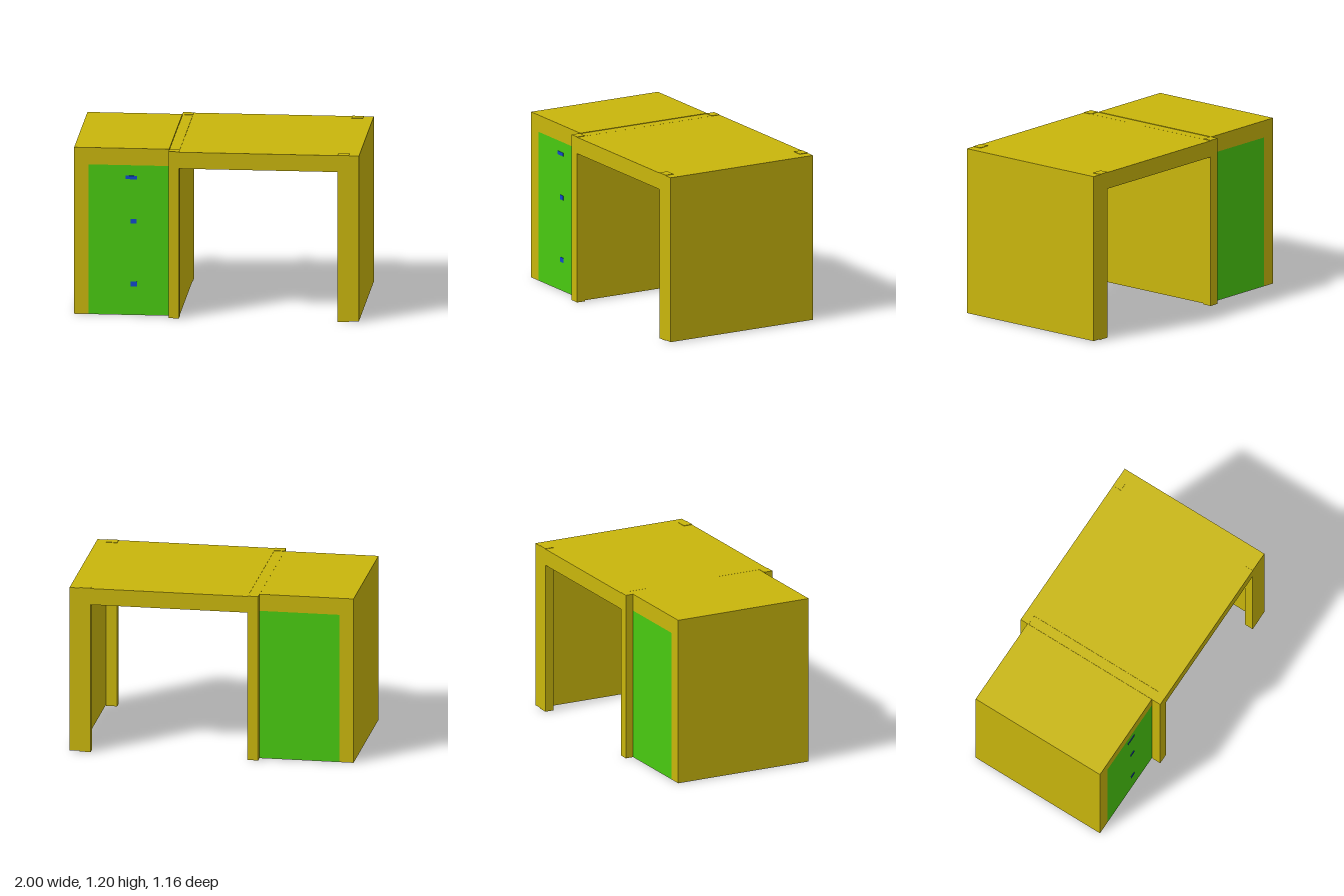
import * as THREE from 'three';

const paint = (color) => new THREE.MeshStandardMaterial({ color });

export function createModel() {
  const yellow = paint(0xc9b60c);
  const green = paint(0x49ca10);
  const blue = paint(0x1048cc);
  const grey = paint(0xcccccc);

  // Box given by its extents along each axis
  const box = (parent, name, material, [x0, x1], [y0, y1], [z0, z1]) => {
    const mesh = new THREE.Mesh(new THREE.BoxGeometry(x1 - x0, y1 - y0, z1 - z0), material);
    mesh.position.set((x0 + x1) / 2, (y0 + y1) / 2, (z0 + z1) / 2);
    mesh.name = name;
    parent.add(mesh);
    return mesh;
  };

  const model = new THREE.Group();
  model.name = 'desk';

  // Open table section
  const table = new THREE.Group();
  table.name = 'table';
  model.add(table);
  const depth = [-0.58, 0.58];
  box(table, 'tableTop', yellow, [-0.26, 1], [1.075, 1.193], depth);
  box(table, 'innerSidePanel', yellow, [-0.333, -0.261], [0.007, 1.193], [-0.578, 0.578]);
  box(table, 'outerSidePanel', yellow, [0.93, 1], [0.007, 1.075], depth);
  box(table, 'outerPanelEdge', grey, [0.931, 0.999], [0.005, 0.007], [-0.579, 0.579]);

  // Corner posts, reaching just past the top and the panel bottoms
  for (const [x0, x1] of [[-0.335, -0.26], [0.85, 0.93]]) {
    box(table, 'frontPost', yellow, [x0, x1], [0, 1.196], [0.515, 0.58]);
    box(table, 'backPost', yellow, [x0, x1], [0, 1.196], [-0.58, -0.515]);
  }

  // Drawer cabinet, drawers showing at front and back
  const cabinet = new THREE.Group();
  cabinet.name = 'cabinet';
  model.add(cabinet);
  const cabinetDepth = [-0.523, 0.51];
  box(cabinet, 'cabinetTop', yellow, [-1, -0.335], [1.075, 1.196], cabinetDepth);
  box(cabinet, 'cabinetSide', yellow, [-1, -0.9], [0.003, 1.075], cabinetDepth);
  box(cabinet, 'drawerBlock', green, [-0.9, -0.335], [0.003, 1.075], cabinetDepth);
  box(cabinet, 'cabinetBase', grey, [-1, -0.335], [0, 0.003], cabinetDepth);

  // Flat drawer handles
  const handles = [
    ['topHandle', [-0.64, -0.56], [0.975, 1.0]],
    ['middleHandle', [-0.607, -0.564], [0.657, 0.69]],
    ['bottomHandle', [-0.605, -0.559], [0.206, 0.24]],
  ];
  for (const [name, xs, ys] of handles) box(cabinet, name, blue, xs, ys, [0.508, 0.513]);

  return model;
}
